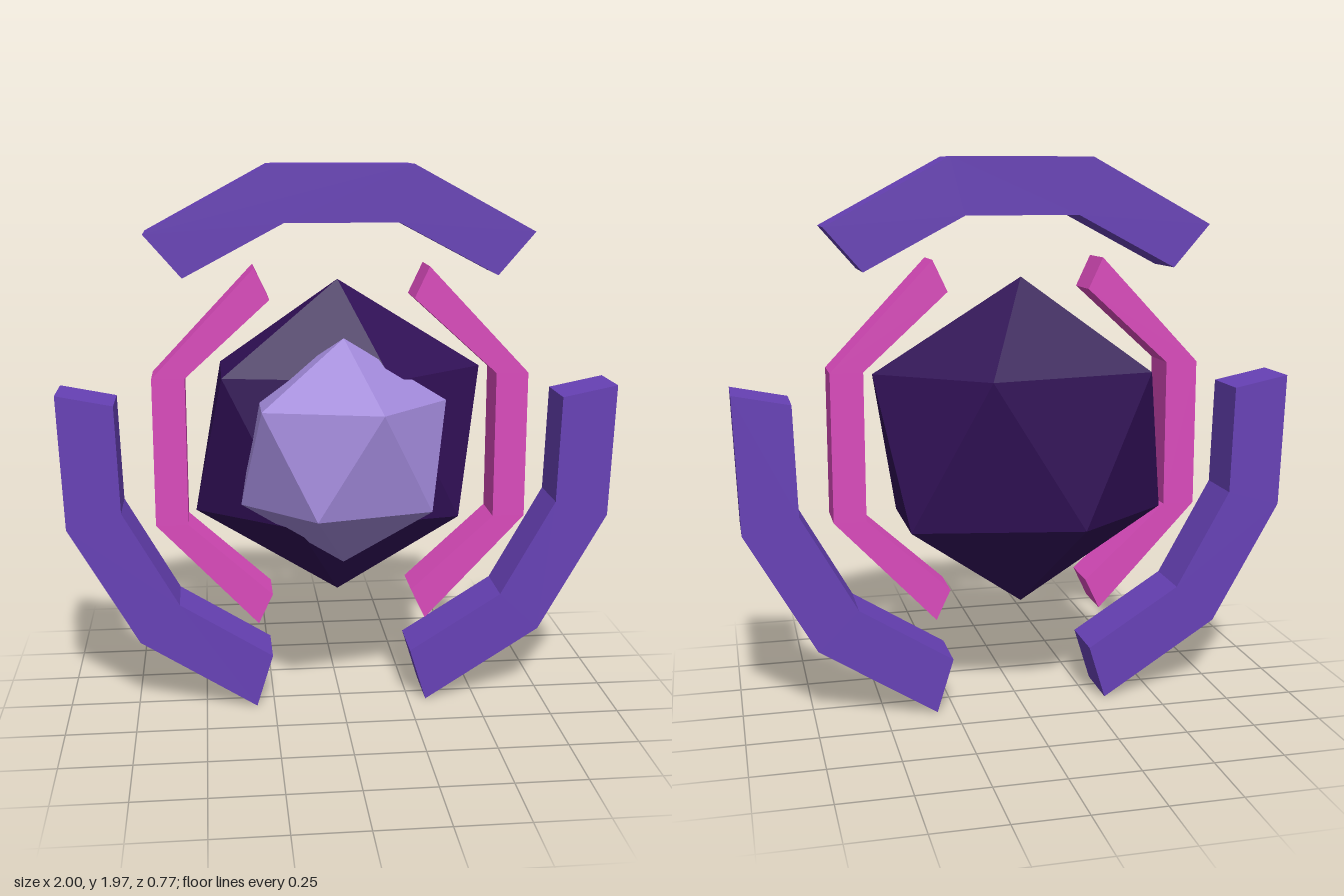
import * as THREE from 'three';
import { ConvexGeometry } from 'three/addons/geometries/ConvexGeometry.js';

const material = (name, color) => {
  const m = new THREE.MeshStandardMaterial({ color });
  m.name = name;
  return m;
};

// Twenty-sided gem standing on a point, squashed in depth
function gem(name, radius, depthScale, z, mat) {
  const ringY = radius / Math.sqrt(5);
  const ringR = 2 * ringY;
  const points = [new THREE.Vector3(0, radius, 0), new THREE.Vector3(0, -radius, 0)];
  for (let i = 0; i < 10; i++) {
    const a = (i * Math.PI) / 5;
    points.push(new THREE.Vector3(
      ringR * Math.cos(a),
      i % 2 ? -ringY : ringY,
      ringR * Math.sin(a) * depthScale
    ));
  }
  const mesh = new THREE.Mesh(new ConvexGeometry(points), mat);
  mesh.name = name;
  mesh.position.set(0, 0.975, z);
  return mesh;
}

// Angular band cut from a flat outline, running from zBack to zFront
function band(name, outline, zBack, zFront, mat, side = 1) {
  const shape = new THREE.Shape(outline.map(([x, y]) => new THREE.Vector2(x * side, y)));
  const geometry = new THREE.ExtrudeGeometry(shape, { depth: zFront - zBack, bevelEnabled: false });
  geometry.translate(0, 0, zBack);
  const mesh = new THREE.Mesh(geometry, mat);
  mesh.name = name;
  return mesh;
}

export function createModel() {
  const model = new THREE.Group();
  model.name = 'gemEmblem';

  const purple = material('purple', 0x6741b6);
  const pink = material('pink', 0xd94abb);
  const lilac = material('lilac', 0xa088d8);
  const darkViolet = material('dark violet', 0x300f55);

  // Nested gems
  model.add(gem('outerGem', 0.585, 0.58, -0.097, darkViolet));
  model.add(gem('innerGem', 0.405, 0.74, 0.13, lilac));

  // Upper outer band
  model.add(band('topBand', [
    [-0.68, 1.735], [-0.55, 1.585], [-0.2, 1.77], [0.2, 1.77],
    [0.55, 1.585], [0.68, 1.735], [0.25, 1.967], [-0.25, 1.967],
  ], -0.128, 0.074, purple));

  // Mirrored lower outer bands and inner brackets
  const sideOutline = [
    [1, 1.185], [0.8, 1.145], [0.787, 0.755], [0.59, 0.405],
    [0.255, 0.195], [0.315, 0], [0.735, 0.265], [0.982, 0.7],
  ];
  const bracketOutline = [
    [0.305, 1.62], [0.253, 1.51], [0.55, 1.24], [0.55, 0.712],
    [0.253, 0.44], [0.305, 0.33], [0.665, 0.712], [0.665, 1.24],
  ];
  for (const [label, side] of [['left', 1], ['right', -1]]) {
    model.add(band(label + 'Band', sideOutline, -0.128, 0.074, purple, side));
    model.add(band(label + 'Bracket', bracketOutline, -0.073, 0.088, pink, side));
  }

  return model;
}
